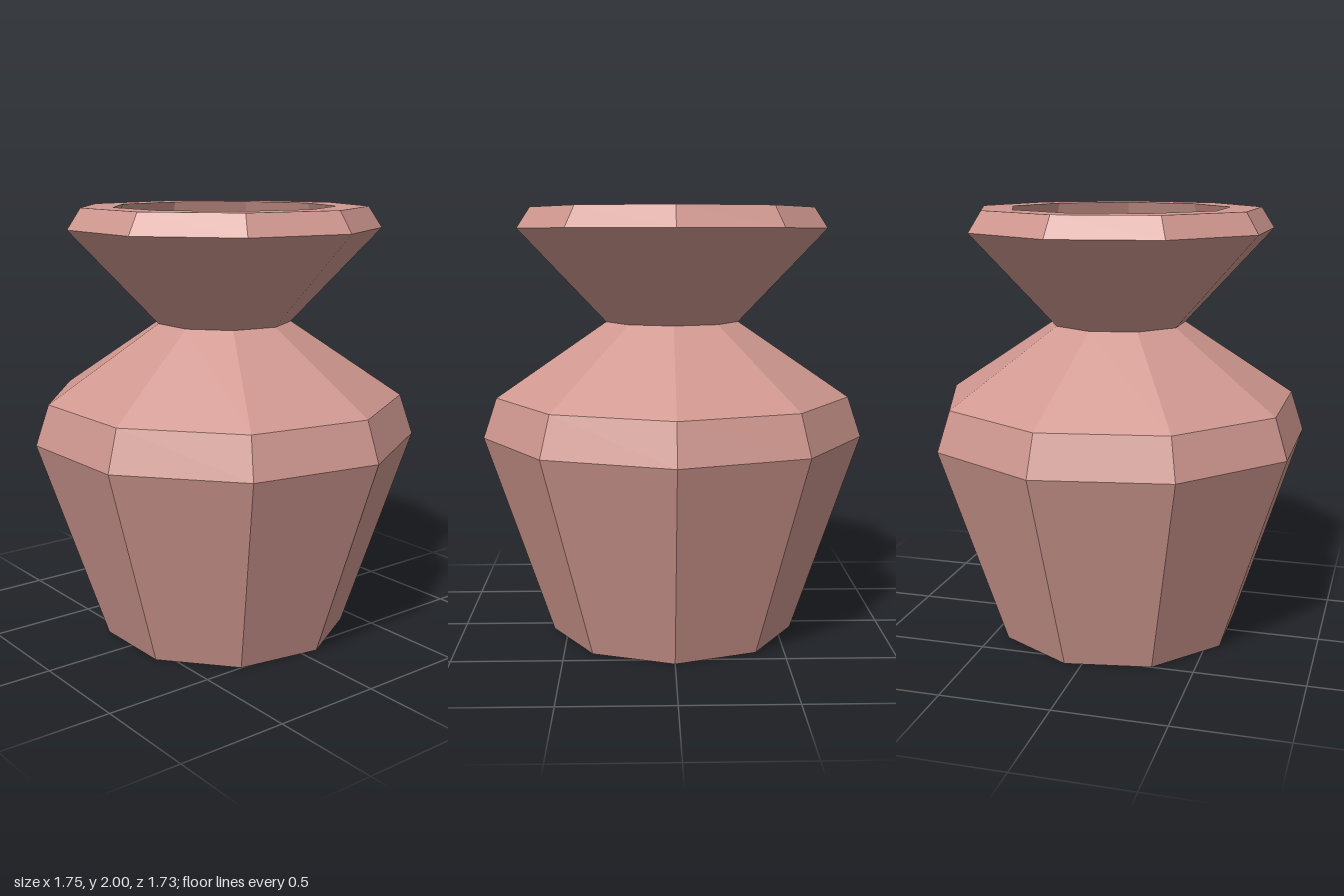
import * as THREE from 'three';

const SIDES = 9;
const CENTRE_Z = 0.022; // nine-sided outline is not symmetric front to back

export function createModel() {
  const group = new THREE.Group();
  group.name = 'vase';
  const clay = new THREE.MeshStandardMaterial({ color: 0xd09890, flatShading: true });

  // Revolves [radius, height] pairs into nine flat sides, a corner at the back
  const addRing = (name, profile) => {
    const points = profile.map(([r, y]) => new THREE.Vector2(r, y));
    const mesh = new THREE.Mesh(new THREE.LatheGeometry(points, SIDES, Math.PI), clay);
    mesh.name = name;
    mesh.position.z = CENTRE_Z;
    group.add(mesh);
  };

  // Closed base, tapered belly, short band and sloping shoulder
  addRing('body', [[0, 0], [0.576, 0], [0.89, 0.945], [0.828, 1.13], [0.313, 1.475]]);

  // Flaring neck with a bevelled edge and flat lip
  addRing('neckAndLip', [[0.313, 1.475], [0.72, 1.905], [0.658, 2], [0.513, 2]]);

  // Hollow inside of the mouth, funnelling to a small flat bottom
  addRing('mouthInside', [[0.513, 2], [0.55, 1.905], [0.52, 1.81], [0.063, 1.36], [0, 1.36]]);

  return group;
}
